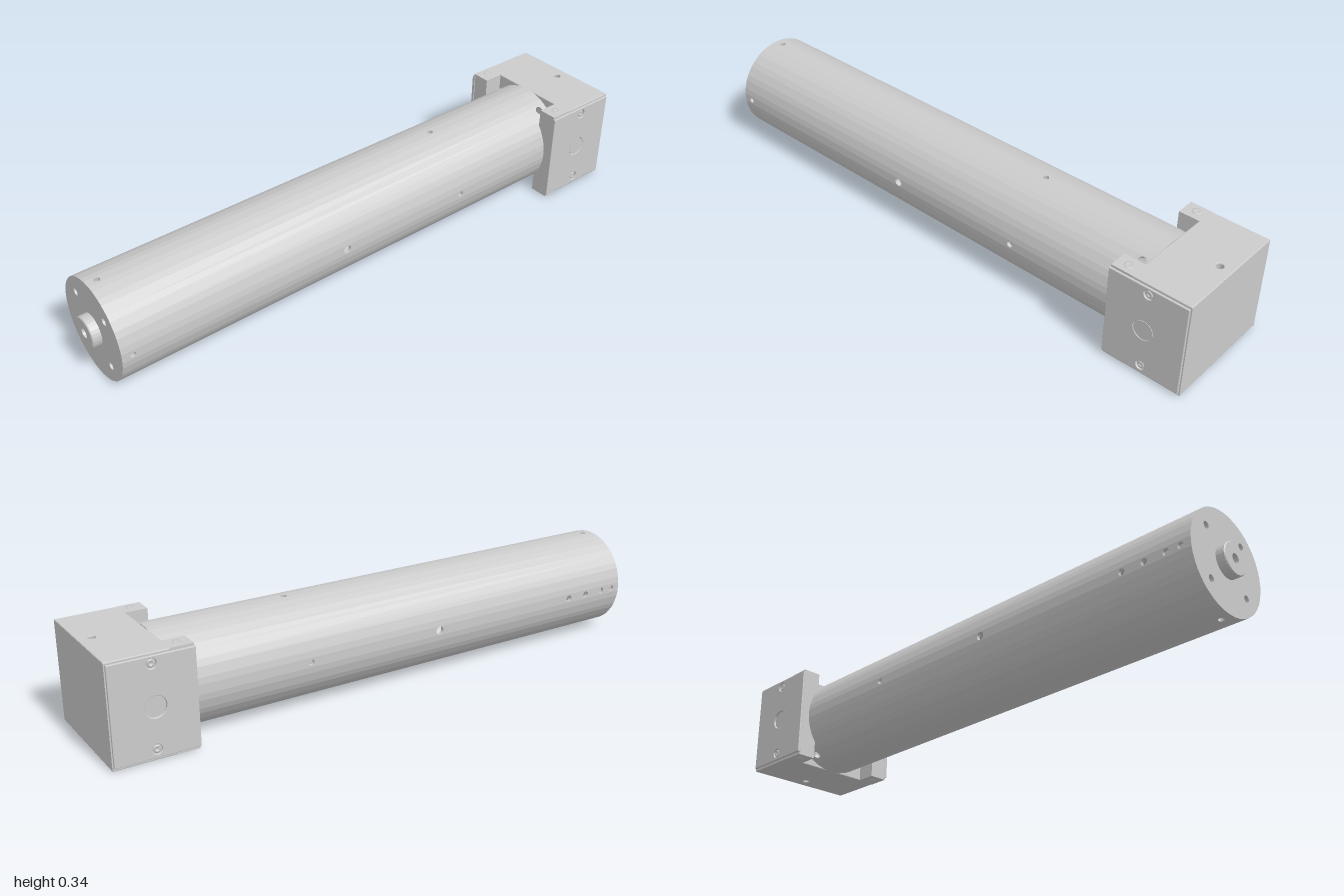
import * as THREE from 'three';

const mat = new THREE.MeshStandardMaterial({ color: 0xcccccc });
const CY = 0.17, R = 0.168, WALL = 0.012, X0 = -0.97, X1 = 0.8;

function add(parent, name, geo, x = 0, y = 0, z = 0) {
  const m = new THREE.Mesh(geo, mat);
  m.name = name;
  m.position.set(x, y, z);
  parent.add(m);
  return m;
}

// Rectangle with round holes [x, y, r]
function plate(x0, y0, x1, y1, holes = []) {
  const s = new THREE.Shape([[x0, y0], [x1, y0], [x1, y1], [x0, y1]].map(p => new THREE.Vector2(...p)));
  for (const [x, y, r] of holes) s.holes.push(new THREE.Path().absarc(x, y, r, 0, Math.PI * 2, true));
  return s;
}

const extrude = (s, depth, bevel = 0) => new THREE.ExtrudeGeometry(s, {
  depth: depth - 2 * bevel, curveSegments: 10, bevelEnabled: bevel > 0,
  bevelThickness: bevel, bevelSize: bevel, bevelOffset: -bevel, bevelSegments: 2,
}).translate(0, 0, bevel);

// Cylinder lying along x
function rod(r, x0, x1, n = 40) {
  return new THREE.CylinderGeometry(r, r, x1 - x0, n).rotateZ(Math.PI / 2).translate((x0 + x1) / 2, 0, 0);
}

// Socket screw with its axis along +z
function screwGeo(r, h) {
  const pts = [[0, h * 0.3], [r * 0.5, h * 0.3], [r * 0.5, h], [r, h], [r, 0]].map(p => new THREE.Vector2(...p));
  return new THREE.LatheGeometry(pts.reverse(), 14).rotateX(Math.PI / 2);
}

// Faceted tube wall: wide strips carry holes, narrow ones fill between
function buildTube(root) {
  const tube = new THREE.Group();
  tube.name = 'tube';
  tube.position.y = CY;
  const side = [[0.33, 0, 0.01], [-0.16, 0, 0.014], [-0.935, 0, 0.01]];
  const cross = [[0.765, 0, 0.014]];
  const holes = {
    0: side, 3: cross, 5: [[0.33, 0, 0.01], [-0.935, 0, 0.01]], 7: cross,
    10: [...side, [-0.73, 0, 0.011], [-0.81, 0, 0.011], [-0.885, 0, 0.011]],
    13: cross, 15: [[-0.935, 0, 0.01]], 17: cross,
  };
  const step = Math.PI / 10;
  for (let i = 0; i < 20; i++) {
    for (const [turn, half, list] of [[0, step * 0.3, holes[i]], [0.5, step * 0.2, []]]) {
      const w = R * Math.sin(half);
      const geo = extrude(plate(X0, -w, X1, w, list), WALL);
      geo.translate(0, 0, R * Math.cos(half) - WALL);
      add(tube, 'tubeWall', geo).rotation.x = -(i + turn) * step;
    }
  }
  add(tube, 'innerCore', rod(0.152, 0.2, 0.62));

  // End plug with four screw holes
  const disc = new THREE.Shape().absarc(0, 0, R - WALL + 0.001, 0, Math.PI * 2);
  for (let k = 0; k < 4; k++) {
    const a = Math.PI / 4 + k * Math.PI / 2;
    disc.holes.push(new THREE.Path().absarc(0.12 * Math.cos(a), 0.12 * Math.sin(a), 0.012, 0, Math.PI * 2, true));
  }
  add(tube, 'endPlug', new THREE.ExtrudeGeometry(disc, { depth: 0.03, bevelEnabled: false, curveSegments: 24 })
    .rotateY(-Math.PI / 2), X0 + 0.03);
  add(tube, 'plugBacking', rod(R - WALL, X0 + 0.03, X0 + 0.1));

  // Output shaft with a centre hole
  const shaft = [[0, -0.04], [0.053, -0.04], [0.053, 0.027], [0.05, 0.03], [0.016, 0.03], [0.016, 0.01], [0, 0.01]];
  const geo = new THREE.LatheGeometry(shaft.map(p => new THREE.Vector2(...p)), 28).toNonIndexed();
  geo.computeVertexNormals();
  add(tube, 'shaft', geo.rotateZ(Math.PI / 2), X0);
  root.add(tube);
}

// Bracket block holding the tube end
function buildBracket(root) {
  const g = new THREE.Group();
  g.name = 'bracket';
  const y0 = 0.003, y1 = 0.336, h = y1 - y0;
  const body = extrude(plate(0.8, -0.2, 1, 0.2, [[0.957, 0, 0.012]]), h, 0.003);
  add(g, 'bracketBody', body.rotateX(-Math.PI / 2), 0, y0);

  for (const s of [1, -1]) {
    // Arm with a concave inner face around the tube
    const a = Math.acos(0.135 / (R + 0.002));
    const arm = new THREE.Shape();
    arm.moveTo(0.2, y0 - CY);
    arm.lineTo(0.2, y1 - CY);
    arm.lineTo(0.135, y1 - CY);
    arm.absarc(0, 0, R + 0.002, a, -a, true);
    arm.lineTo(0.135, y0 - CY);
    const geo = extrude(arm, 0.075);
    // Turn the section so that its width runs along z
    geo.rotateY(s > 0 ? -Math.PI / 2 : Math.PI / 2);
    add(g, 'bracketArm', geo, s > 0 ? 0.805 : 0.73, CY, 0);

    // Cover plate with screw holes and a round port
    const cover = extrude(plate(0.728, 0.013, 0.996, 0.328,
      [[0.865, 0.305, 0.016], [0.865, 0.04, 0.016], [0.86, 0.172, 0.034]]), 0.012, 0.002);
    if (s < 0) cover.translate(0, 0, -0.012);
    add(g, 'coverPlate', cover, 0, 0, s * 0.195);
    const turn = s > 0 ? 0 : Math.PI;
    for (const y of [0.305, 0.04]) {
      add(g, 'coverScrew', screwGeo(0.012, 0.005), 0.865, y, s * 0.2).rotation.y = turn;
    }
    const plug = new THREE.CylinderGeometry(0.0325, 0.0325, 0.01, 28).rotateX(Math.PI / 2);
    add(g, 'portPlug', plug, 0.86, 0.172, s > 0 ? 0.2015 : -0.197);

    // Vertical clamp screws, top and bottom of each arm
    for (const [y, rot] of [[y1 - 0.002, -Math.PI / 2], [y0 + 0.002, Math.PI / 2]]) {
      add(g, 'clampScrew', screwGeo(0.015, 0.004), 0.77, y, s * 0.17).rotation.x = rot;
    }
  }
  root.add(g);
}

export function createModel() {
  const root = new THREE.Group();
  root.name = 'tubularActuator';
  buildTube(root);
  buildBracket(root);
  return root;
}
